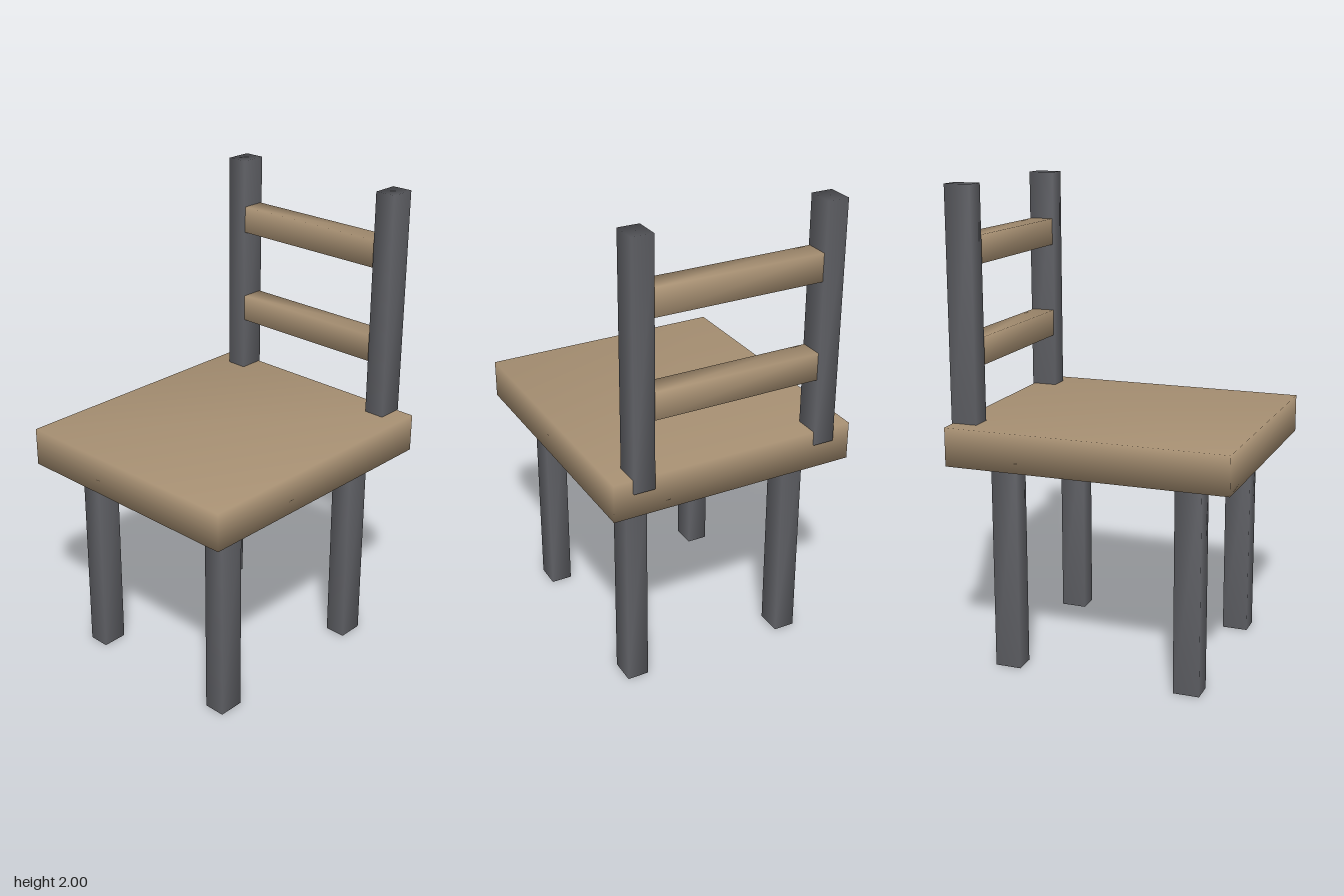
import * as THREE from 'three';
import { mergeVertices } from 'three/addons/utils/BufferGeometryUtils.js';

const wood = new THREE.MeshStandardMaterial({ color: 0xa68f72 });
const metal = new THREE.MeshStandardMaterial({ color: 0x606166 });

// Box between two corners, with shared corners so the shading runs smoothly round its edges
function block(name, material, [x0, y0, z0], [x1, y1, z1]) {
  const box = new THREE.BoxGeometry(x1 - x0, y1 - y0, z1 - z0);
  box.deleteAttribute('normal');
  box.deleteAttribute('uv');
  const geometry = mergeVertices(box);
  geometry.computeVertexNormals();
  const mesh = new THREE.Mesh(geometry, material);
  mesh.name = name;
  mesh.position.set((x0 + x1) / 2, (y0 + y1) / 2, (z0 + z1) / 2);
  return mesh;
}

export function createModel() {
  const chair = new THREE.Group();
  chair.name = 'chair';

  // Seat slab
  chair.add(block('seat', wood, [-0.523, 0.887, -0.588], [0.523, 1.047, 0.595]));

  // Four legs
  for (const [side, x] of [['right', -0.405], ['left', 0.312]]) {
    for (const [end, z] of [['Front', 0.34], ['Back', -0.443]]) {
      chair.add(block(`${side}${end}Leg`, metal, [x, 0, z], [x + 0.091, 0.9, z + 0.11]));
    }
  }

  // Backrest posts, let into the rear edge of the seat
  for (const [side, x] of [['right', -0.444], ['left', 0.353]]) {
    chair.add(block(`${side}BackPost`, metal, [x, 0.99, -0.595], [x + 0.089, 2, -0.485]));
  }

  // Backrest rails between the posts
  for (const [name, y] of [['lowerRail', 1.276], ['upperRail', 1.684]]) {
    chair.add(block(name, wood, [-0.36, y, -0.588], [0.36, y + 0.114, -0.49]));
  }

  return chair;
}
